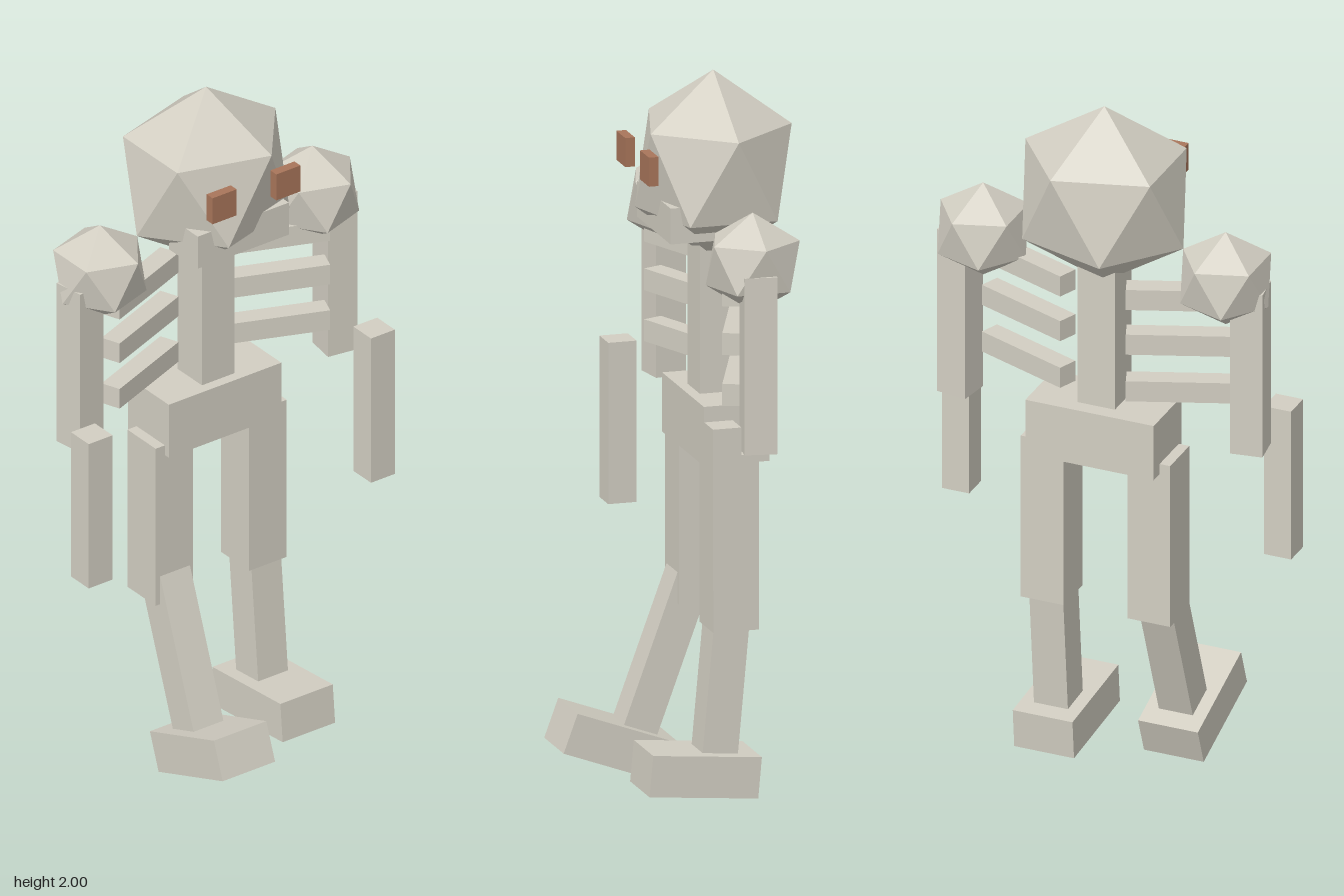
import * as THREE from 'three';

export function createModel() {
  const model = new THREE.Group();
  model.name = 'skeleton';
  const bone = new THREE.MeshStandardMaterial({ color: 0xd2cec2, flatShading: true });
  bone.name = 'bone';
  const eyeBrown = new THREE.MeshStandardMaterial({ color: 0xa8755a, flatShading: true });
  eyeBrown.name = 'eye brown';

  function box(name, size, pos, parent = model, material = bone) {
    const mesh = new THREE.Mesh(new THREE.BoxGeometry(...size), material);
    mesh.name = name;
    mesh.position.set(...pos);
    parent.add(mesh);
    return mesh;
  }

  // Icosahedron standing on one corner, with an upper ring corner at +x
  function ball(name, radii, pos) {
    const geometry = new THREE.IcosahedronGeometry(1, 0);
    geometry.rotateZ(-Math.atan(2 / (1 + Math.sqrt(5))));
    geometry.scale(...radii);
    geometry.computeVertexNormals();
    const mesh = new THREE.Mesh(geometry, bone);
    mesh.name = name;
    mesh.position.set(...pos);
    model.add(mesh);
  }

  // Head, jaw and trunk
  ball('skull', [0.26, 0.266, 0.234], [0, 1.735, -0.1]);
  box('jaw', [0.306, 0.1, 0.13], [0, 1.615, 0.003]);
  box('spine', [0.11, 0.54, 0.11], [0, 1.32, -0.1]);
  box('pelvis', [0.378, 0.165, 0.185], [0, 1.032, -0.107]);

  for (const s of [1, -1]) {
    const side = s > 0 ? 'left' : 'right';
    box(side + 'Eye', [0.081, 0.081, 0.027], [s * 0.107, 1.77, 0.114], model, eyeBrown);

    // Ribs sweep forward as they go outward
    [1.468, 1.332, 1.19].forEach((y, i) => {
      box(side + 'Rib' + (i + 1), [0.298, 0.061, 0.058], [s * 0.225, y, -0.096]).rotation.y = -s * 0.37;
    });

    // Shoulder and arm
    ball(side + 'Shoulder', [0.14, 0.14, 0.142], [s * 0.357, 1.553, -0.1]);
    box(side + 'UpperArm', [0.09, 0.493, 0.09], [s * 0.428, 1.294, -0.094]).rotation.y = -s * 0.15;
    box(side + 'Forearm', [0.08, 0.45, 0.08], [s * 0.474, 0.915, 0.021]);

    // Thigh, then shin and foot tilted together, the right one stepping forward
    box(side + 'Thigh', [0.126, 0.49, 0.128], [s * 0.157, 0.735, -0.096]);
    const lowerLeg = new THREE.Group();
    lowerLeg.name = side + 'LowerLeg';
    lowerLeg.position.set(s * 0.155, s > 0 ? 0.096 : 0.108, s > 0 ? -0.003 : 0.137);
    lowerLeg.rotation.x = s > 0 ? -0.09 : -0.35;
    box(side + 'Shin', [0.1, 0.5, 0.1], [0, 0.3, -0.048], lowerLeg);
    box(side + 'Foot', [0.176, 0.115, 0.308], [0, 0, 0], lowerLeg);
    model.add(lowerLeg);
  }
  return model;
}
